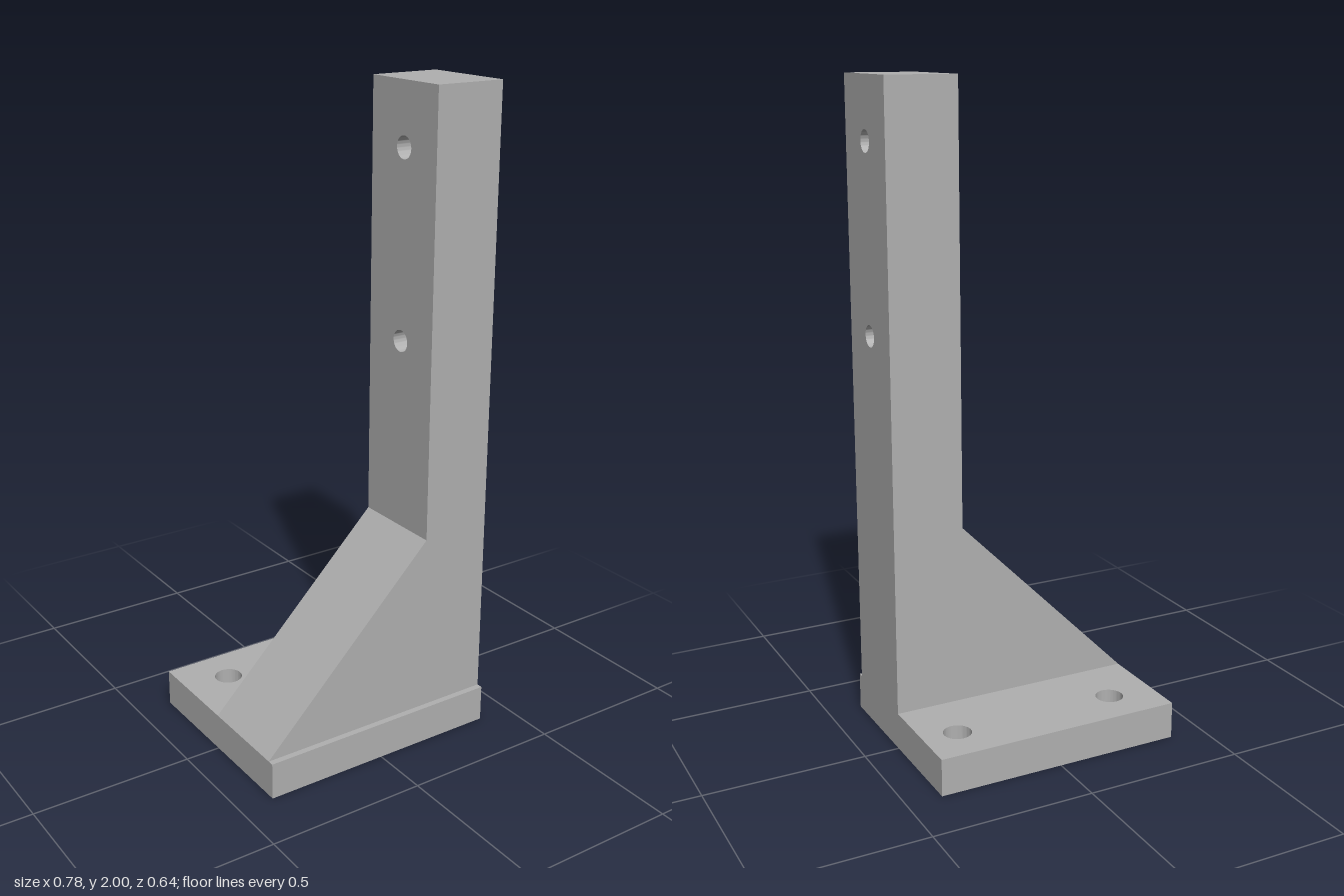
import * as THREE from 'three';
import { toCreasedNormals } from 'three/addons/utils/BufferGeometryUtils.js';

const HALF_W = 0.39;      // half width in x
const BASE_TOP = 0.115;
const SHOULDER = 0.675;   // where the gusset meets the post
const POST_X = 0.168;     // inner face of the post
const POST_Z = 0.298;     // front face of the post

// Polygon outline with round holes given as [x, y, radius]
function outline(points, holes = []) {
  const shape = new THREE.Shape(points.map(([x, y]) => new THREE.Vector2(x, y)));
  for (const [x, y, r] of holes) {
    shape.holes.push(new THREE.Path().absarc(x, y, r, 0, Math.PI * 2, true));
  }
  return shape;
}

const rect = (x0, y0, x1, y1) => [[x0, y0], [x1, y0], [x1, y1], [x0, y1]];

function extrude(shape, depth) {
  return new THREE.ExtrudeGeometry(shape, { depth, bevelEnabled: false, curveSegments: 32 });
}

export function createModel() {
  const group = new THREE.Group();
  group.name = 'mountingBracket';
  const steel = new THREE.MeshStandardMaterial({ color: 0xb0b0b0 });
  steel.name = 'grey metal';

  const add = (name, geometry) => {
    const mesh = new THREE.Mesh(toCreasedNormals(geometry, 0.5), steel);
    mesh.name = name;
    group.add(mesh);
  };

  // Base plate with two bolt holes behind the post (shape y is -z)
  const base = extrude(outline(rect(-HALF_W, -0.317, HALF_W, 0.319),
    [[-0.243, 0.188, 0.043], [0.279, 0.188, 0.043]]), BASE_TOP);
  base.rotateX(-Math.PI / 2);
  add('basePlate', base);

  // Sloped gusset forming the foot of the post
  add('gusset', extrude(outline([
    [-HALF_W, BASE_TOP], [HALF_W, BASE_TOP], [HALF_W, SHOULDER], [POST_X, SHOULDER],
  ]), POST_Z));

  // Upright post with two cross holes running along x (shape x is z)
  const post = extrude(outline(rect(0, SHOULDER, POST_Z, 2),
    [[0.15, 1.255, 0.033], [0.15, 1.815, 0.033]]), HALF_W - POST_X);
  post.rotateY(-Math.PI / 2);
  post.translate(HALF_W, 0, 0);
  add('post', post);

  return group;
}
